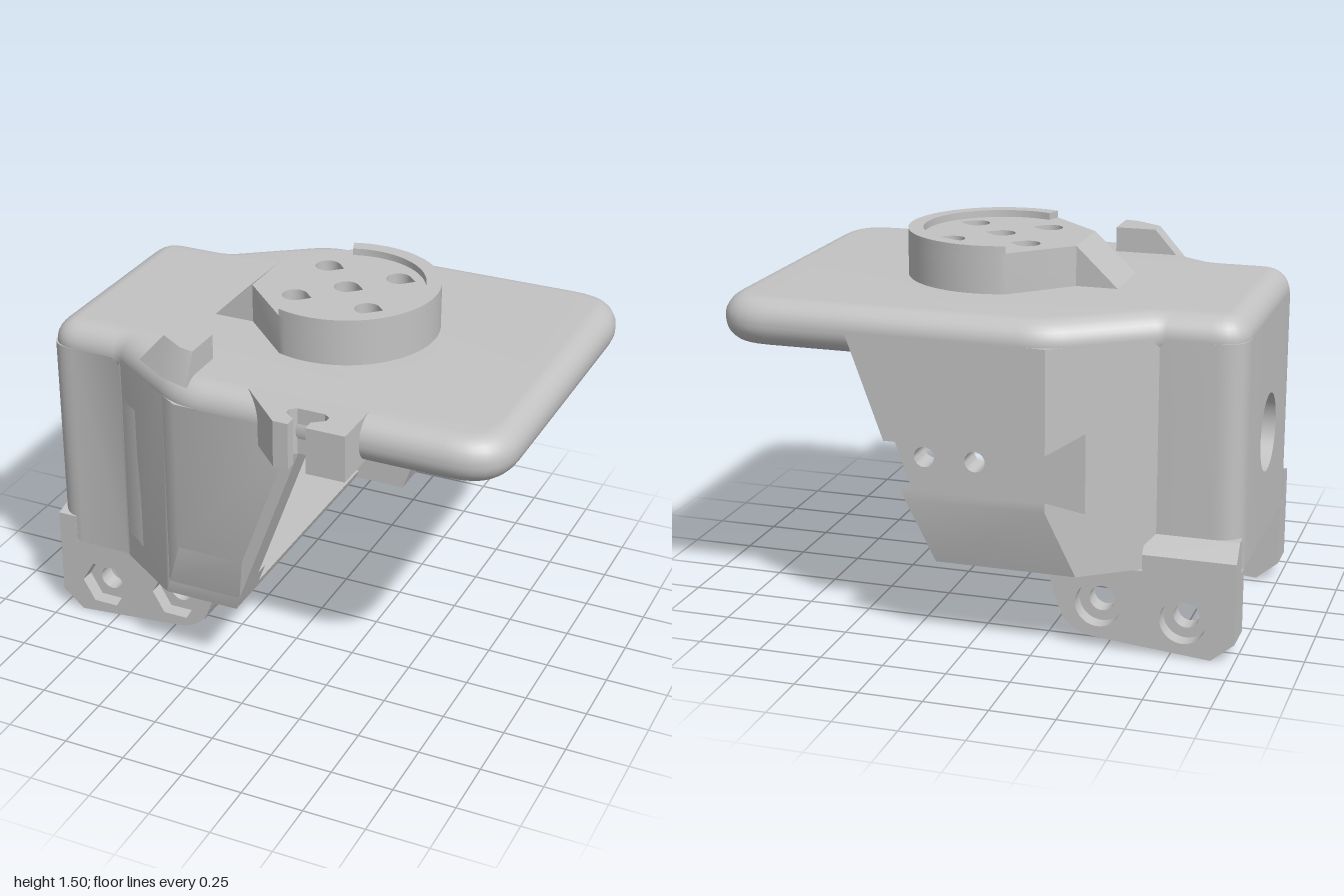
import * as THREE from 'three';
import { toCreasedNormals } from 'three/addons/utils/BufferGeometryUtils.js';
import { ConvexGeometry } from 'three/addons/geometries/ConvexGeometry.js';

const gray = new THREE.MeshStandardMaterial({ color: 0xc3c3c3 });
gray.name = 'light gray';

// ---- outline helpers: every outline is a list of [u, v] points ----
const arc = (cx, cy, r, a0, a1, n) => Array.from({ length: n + 1 }, (_, i) => {
  const a = a0 + (a1 - a0) * i / n;
  return [cx + r * Math.cos(a), cy + r * Math.sin(a)];
});
const circle = (cx, cy, r, n = 40) => arc(cx, cy, r, 0, Math.PI * 2 * (n - 1) / n, n - 1);
const hexagon = (cx, cy, r) => circle(cx, cy, r, 6);
const teardrop = (cx, cy, r) => [...arc(cx, cy, r, Math.PI / 4, Math.PI * 1.75, 18), [cx + r * 1.41, cy]];

// corners given as [u, v, radius]
function rounded(corners) {
  const out = [];
  corners.forEach(([x, y, r = 0], i) => {
    if (!r) { out.push([x, y]); return; }
    const toward = (q) => {
      const l = Math.hypot(q[0] - x, q[1] - y);
      return new THREE.Vector2(x + (q[0] - x) * r / l, y + (q[1] - y) * r / l);
    };
    const n = corners.length;
    const c = new THREE.QuadraticBezierCurve(toward(corners[(i + n - 1) % n]),
      new THREE.Vector2(x, y), toward(corners[(i + 1) % n]));
    c.getPoints(7).forEach((p) => out.push([p.x, p.y]));
  });
  return out;
}

// outline and holes all wound counter-clockwise, so that hole walls face inward
function shapeOf(pts, holes, flipU, flipV) {
  const conv = (list) => {
    const v = list.map(([a, b]) => new THREE.Vector2(a * flipU, b * flipV));
    return THREE.ShapeUtils.isClockWise(v) ? v.reverse() : v;
  };
  const s = new THREE.Shape(conv(pts));
  s.holes = holes.map((h) => new THREE.Path(conv(h)));
  return s;
}

// [x, z] outline raised from y0 to y1
function alongY(pts, y0, y1, holes = []) {
  const g = new THREE.ExtrudeGeometry(shapeOf(pts, holes, 1, -1), { depth: y1 - y0, bevelEnabled: false });
  return g.rotateX(-Math.PI / 2).translate(0, y0, 0);
}
// [x, y] outline pushed from z0 to z1
function alongZ(pts, z0, z1, holes = []) {
  const g = new THREE.ExtrudeGeometry(shapeOf(pts, holes, 1, 1), { depth: z1 - z0, bevelEnabled: false });
  return g.translate(0, 0, z0);
}
// [z, y] outline pushed along x between two end surfaces start(z, y) and end(z, y)
function alongX(pts, start, end, holes = []) {
  const g = new THREE.ExtrudeGeometry(shapeOf(pts, holes, -1, 1), { depth: 1, bevelEnabled: false });
  const p = g.attributes.position;
  for (let i = 0; i < p.count; i++) {
    const z = -p.getX(i), y = p.getY(i), a = start(z, y), b = end(z, y);
    p.setXYZ(i, a + (b - a) * p.getZ(i), y, z);
  }
  g.computeVertexNormals();
  return g;
}
const hull = (pts) => new ConvexGeometry(pts.map((p) => new THREE.Vector3(...p)));

export function createModel() {
  const model = new THREE.Group();
  const add = (name, geometry) => {
    const m = new THREE.Mesh(toCreasedNormals(geometry, 0.6), gray);
    m.name = name;
    model.add(m);
  };

  // sloping ends of the cheeks
  const frontEnd = (z, y) => -0.09 + 0.365 * (y - 0.335);
  const backEnd = (z, y) => frontEnd(z, y) + 0.22;
  const frontStart = (z) => -0.68 + (z - 0.42) * 1.52;
  const backStart = (z) => -0.68 + (-0.545 - z) * 1.41;
  const at = (x) => () => x;
  const floorY = 0.335, midY = 1.222;

  // ---- top plate with fully rounded rim; its opening flares out at the underside ----
  const plate = rounded([[-1, -0.545, 0.13], [-0.68, -0.545, 0.03], [-0.32, -0.8, 0.1], [1, -0.8, 0.22],
    [1, 0.67, 0.22], [-0.3, 0.67, 0.1], [-0.68, 0.42, 0.03], [-1, 0.42, 0.13]]);
  const cx = 0.075, cz = -0.065;
  const plateGeo = new THREE.ExtrudeGeometry(shapeOf(plate, [circle(cx, cz, 0.33, 64)], 1, -1), {
    depth: 0.005, bevelThickness: 0.09, bevelSize: 0.0925, bevelOffset: -0.0925, bevelSegments: 8 });
  plateGeo.rotateX(-Math.PI / 2).translate(0, 1.22, 0);
  const p = plateGeo.attributes.position;
  for (let i = 0; i < p.count; i++) {
    const dx = p.getX(i) - cx, dz = p.getZ(i) - cz, r = Math.hypot(dx, dz);
    if (r > 0.45) continue;
    const k = (0.33 + 0.08 * Math.max(0, 1.22 - p.getY(i)) / 0.09) / r;
    p.setX(i, cx + dx * k);
    p.setZ(i, cz + dz * k);
  }
  add('topPlate', plateGeo);

  // ---- socket: pierced disc with wide bores, raised boss, rim and ramp ----
  const ports = (r) => [[-0.075, -0.22], [-0.075, 0.087], [0.23, -0.22], [0.23, 0.087], [cx, cz]]
    .map(([x, z]) => teardrop(x, z, r));
  add('socketDisc', alongY(circle(cx, cz, 0.355, 64), 1.19, 1.312, ports(0.08)));
  const half = 1.91;
  const boss = [[-0.265, -0.205], ...arc(cx, cz, 0.37, -half, half, 48), [-0.265, 0.072]];
  add('socketBoss', alongY(boss, 1.311, 1.472, ports(0.05)));
  add('socketRim', alongY([...arc(cx, cz, 0.37, -half, half, 48), ...arc(cx, cz, 0.31, half, -half, 48)], 1.471, 1.5));
  add('socketRamp', hull([0.072, -0.205].flatMap((z) =>
    [[-0.435, 1.31, z], [-0.265, 1.31, z], [-0.265, 1.472, z]])));

  // ---- keyhole tab and wedge stop on the front edge ----
  add('keyholeTab', alongY([[-0.02, 0.58], [-0.02, 0.6], [0.17, 0.79], [0.23, 0.79], [0.23, 0.745], [0.185, 0.71],
    [0.185, 0.685], [0.21, 0.665], [0.32, 0.665], [0.345, 0.685], [0.345, 0.71], [0.3, 0.745],
    [0.3, 0.79], [0.455, 0.79], [0.455, 0.58]], 1.13, 1.3155));
  add('wedgeStop', hull([[-0.53, 1.29, 0.43], [-0.255, 1.29, 0.43], [-0.255, 1.29, 0.65], [-0.38, 1.29, 0.61],
    [-0.53, 1.29, 0.51], [-0.42, 1.415, 0.43], [-0.255, 1.415, 0.43], [-0.255, 1.415, 0.59],
    [-0.31, 1.415, 0.58], [-0.42, 1.415, 0.51]]));

  // ---- solid core with a round bore through it ----
  add('coreBore', alongX([[-0.21, floorY], [0.11, floorY], [0.11, midY], [-0.21, midY]],
    at(-1), at(-0.42), [circle(-0.05, 0.75, 0.155, 56)]));
  add('coreFront', alongY(rounded([[-1, 0.11], [-0.42, 0.11], [-0.42, 0.43], [-0.665, 0.43], [-0.68, 0.42],
    [-1, 0.42, 0.11]]), floorY, midY));
  add('coreBack', alongY(rounded([[-1, -0.21], [-0.42, -0.21], [-0.42, -0.55], [-0.673, -0.55], [-0.68, -0.545],
    [-1, -0.545, 0.11]]), floorY, midY));
  add('floor', alongX([[-0.56, floorY], [0.44, floorY], [0.44, 0.37], [-0.56, 0.37]], at(-0.43), frontEnd));

  // ---- front cheek with a shallow inner pocket and a bevelled outer edge ----
  add('frontCheek', alongX([[0.43, floorY], [0.605, floorY], [0.621, 0.4], [0.621, midY], [0.43, midY],
    [0.43, 1.05], [0.49, 1.05], [0.49, 0.45], [0.43, 0.45]], frontStart, frontEnd));
  add('frontCheekEdge', alongX([[0.621, 0.4], [0.67, 0.6], [0.67, midY], [0.621, midY]],
    frontStart, (z, y) => frontEnd(z, y) - (z - 0.621) * 0.7));
  add('frontPocketEnd', alongX([[0.43, 0.44], [0.5, 0.44], [0.5, 1.06], [0.43, 1.06]], frontStart, at(-0.25)));

  // ---- back cheek with a dovetail slot outside and a pocket inside ----
  add('backCheekUpper', alongX([[-0.55, midY], [-0.8, midY], [-0.8, 0.82], [-0.71, 0.89], [-0.59, 0.89],
    [-0.59, 0.97], [-0.55, 0.97]], backStart, backEnd));
  add('backCheekLower', alongX([[-0.55, floorY], [-0.73, floorY], [-0.8, 0.6], [-0.8, 0.64], [-0.71, 0.58],
    [-0.59, 0.58], [-0.59, 0.535], [-0.55, 0.535]], backStart, backEnd));
  add('backCheekWeb', alongZ([[-0.447, 0.58], [backEnd(0, 0.58), 0.58], [backEnd(0, 0.89), 0.89], [-0.447, 0.89]],
    -0.71, -0.59, [circle(0.18, 0.74, 0.04, 24), circle(-0.02, 0.74, 0.04, 24)]));
  add('backPocketEnd', alongX([[-0.55, 0.53], [-0.6, 0.53], [-0.6, 0.58], [-0.709, 0.58], [-0.709, 0.89],
    [-0.6, 0.89], [-0.6, 0.98], [-0.55, 0.98]], backStart, at(-0.35)));

  // ---- mounting legs: plain bolt holes inside, nut or head seats outside ----
  const leg = rounded([[-1, floorY], [-1, 0.08], [-0.91, 0.005], [-0.36, 0.055, 0.1], [-0.31, 0.16, 0.06],
    [-0.26, floorY]]);
  const seats = (make, r) => [[-0.8, 0.15], [-0.47, 0.18]].map(([x, y]) => make(x, y, r));
  add('frontLegInner', alongZ(leg, 0.285, 0.36, seats(circle, 0.05)));
  add('frontLegOuter', alongZ(leg, 0.36, 0.42, seats(hexagon, 0.103)));
  add('backLegInner', alongZ(leg, -0.53, -0.455, seats(circle, 0.05)));
  add('backLegOuter', alongZ(leg, -0.595, -0.53, seats(circle, 0.09)));
  add('backLegShoulder', alongX([[-0.5, floorY], [-0.595, floorY], [-0.595, 0.4], [-0.545, 0.47], [-0.5, 0.47]],
    at(-1), at(-0.64)));
  add('frontLegShoulder', alongX([[0.34, floorY], [0.42, floorY], [0.42, 0.45], [0.34, 0.47]], at(-1), at(-0.92)));

  // ---- cross bar between the legs, flared where it meets the floor ----
  add('crossBar', alongZ([[-0.65, 0.337], [-0.61, 0.3], [-0.61, 0.24], [-0.59, 0.22], [-0.33, 0.22],
    [-0.31, 0.24], [-0.31, 0.295], [-0.27, 0.337]], -0.47, 0.3));

  return model;
}
